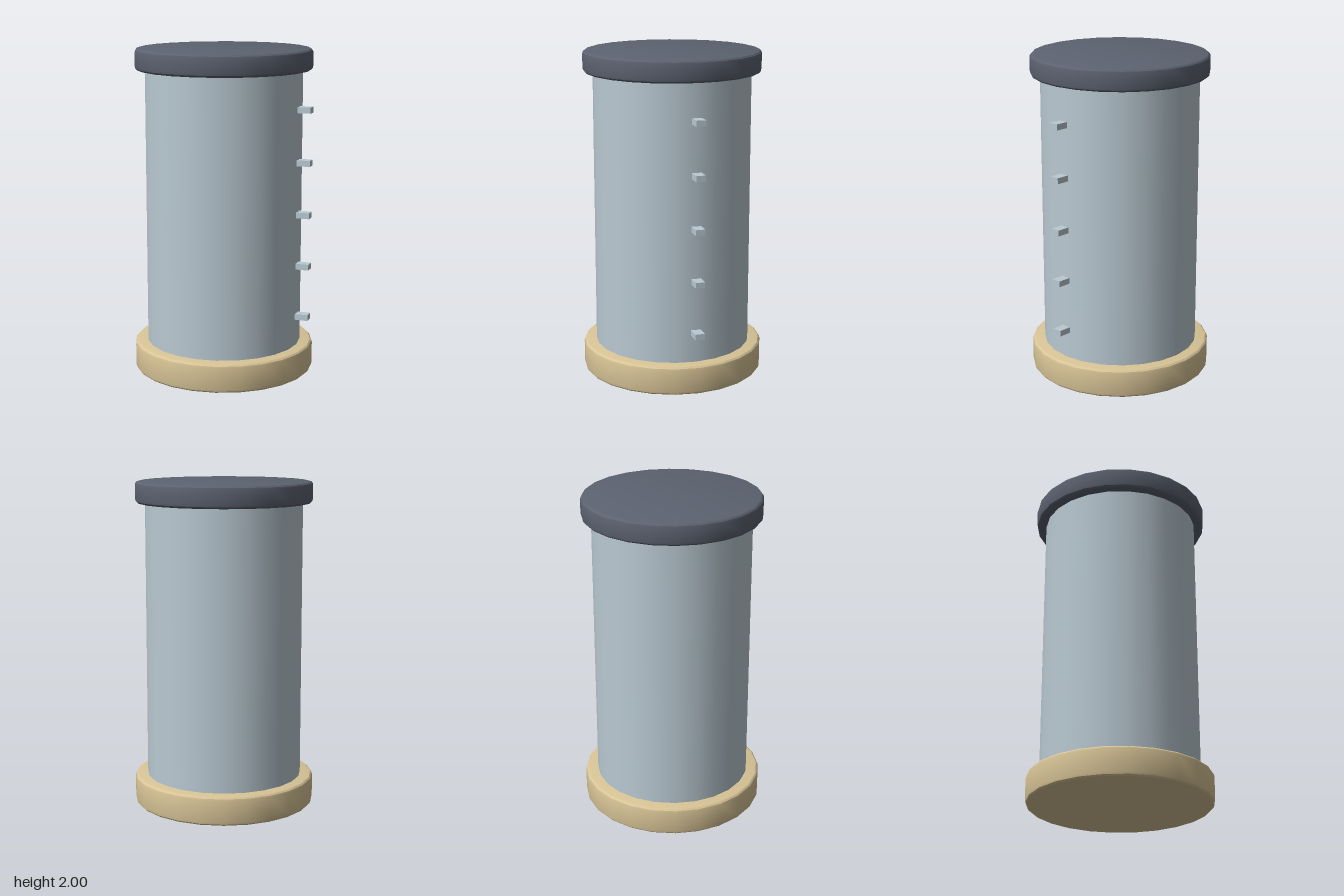
import * as THREE from 'three';
import { toCreasedNormals } from 'three/addons/utils/BufferGeometryUtils.js';

const SIDES = 24;

function material(name, color) {
  const m = new THREE.MeshStandardMaterial({ color });
  m.name = name;
  return m;
}

// Solid disc with rounded rims, from y0 to y1
function roundedDisc(radius, y0, y1, bevel) {
  const points = [new THREE.Vector2(0, y0)];
  for (const [cy, start] of [[y0 + bevel, -Math.PI / 2], [y1 - bevel, 0]]) {
    for (let i = 0; i <= 3; i++) {
      const a = start + (i / 3) * Math.PI / 2;
      points.push(new THREE.Vector2(radius - bevel + bevel * Math.cos(a), cy + bevel * Math.sin(a)));
    }
  }
  points.push(new THREE.Vector2(0, y1));
  return toCreasedNormals(new THREE.LatheGeometry(points, SIDES), 0.5);
}

export function createModel() {
  const group = new THREE.Group();
  const paleBlue = material('paleBlue', 0xb9c9d2);
  const tan = material('tan', 0xd8c496);
  const slate = material('slate', 0x5c6270);

  const add = (name, geometry, mat, x = 0, y = 0) => {
    const mesh = new THREE.Mesh(geometry, mat);
    mesh.name = name;
    mesh.position.set(x, y, 0);
    group.add(mesh);
  };

  // Base, cylinder body and lid
  add('base', roundedDisc(0.558, 0, 0.18, 0.024), tan);
  add('body', new THREE.CylinderGeometry(0.48, 0.48, 1.78, SIDES), paleBlue, 0, 1.03);
  add('lid', roundedDisc(0.54, 1.868, 2, 0.024), slate);

  // Evenly spaced level marks up the left side
  for (let i = 0; i < 5; i++) {
    add('levelMark' + (i + 1), new THREE.BoxGeometry(0.1, 0.036, 0.058), paleBlue, 0.508, 0.364 + i * 0.32);
  }
  return group;
}
